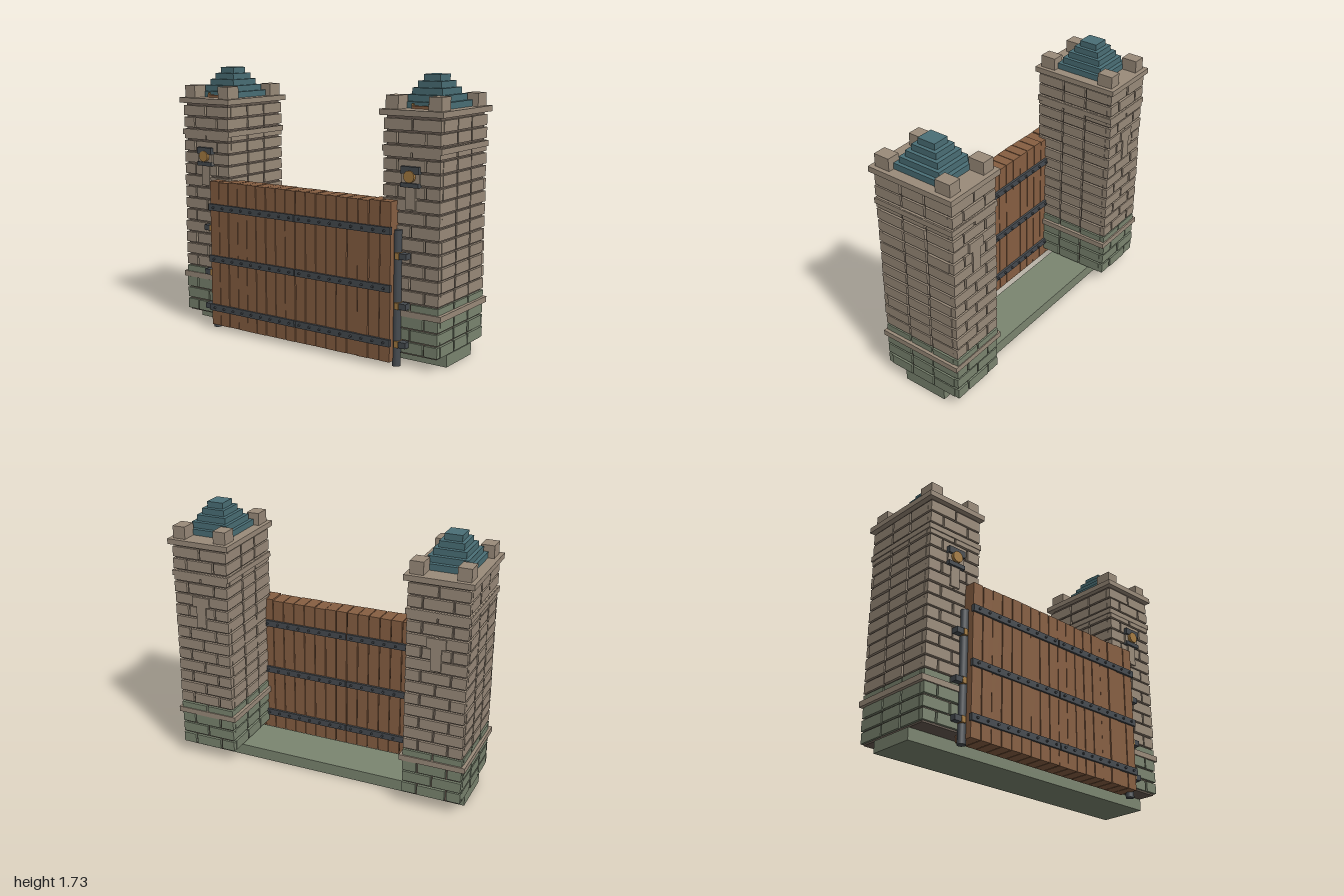
import * as THREE from 'three';

const mat = (name, color) => {
  const m = new THREE.MeshStandardMaterial({ color });
  m.name = name;
  return m;
};

export function createModel() {
  const stone = mat('stone', 0x9a8b7a), moss = mat('mossy stone', 0x7b8570);
  const mortar = mat('mortar', 0x675b51), slate = mat('teal slate', 0x4a6f76);
  const wood = mat('wood', 0x875f42), darkWood = mat('dark wood', 0x523822);
  const iron = mat('iron', 0x464b50), brass = mat('brass', 0xa67c42);

  let seed = 7;
  const rand = () => (seed = (seed * 16807) % 2147483647) / 2147483647;

  const add = (parent, name, geo, material, x, y, z) => {
    const m = new THREE.Mesh(geo, material);
    m.name = name;
    m.position.set(x, y, z);
    parent.add(m);
    return m;
  };
  // Box given by its min and max on each axis
  const box = (parent, name, material, x0, x1, y0, y1, z0, z1) =>
    add(parent, name, new THREE.BoxGeometry(x1 - x0, y1 - y0, z1 - z0), material,
      (x0 + x1) / 2, (y0 + y1) / 2, (z0 + z1) / 2);
  const group = (parent, name) => {
    const g = new THREE.Group();
    g.name = name;
    parent.add(g);
    return g;
  };

  const model = new THREE.Group();
  model.name = 'castleGate';

  // Threshold slab under both towers
  box(model, 'threshold', moss, -0.97, 0.97, 0, 0.075, -0.197, 0.113);

  const buildTower = (name, cx) => {
    const t = group(model, name);
    t.position.set(cx, 0, -0.04);
    box(t, 'mortarCore', mortar, -0.178, 0.178, 0.075, 1.5, -0.267, 0.267);

    // Brick courses, running bond on front and back, stacked on the sides
    const bricks = group(t, 'bricks');
    const pitch = 0.078, gap = 0.006;
    for (let r = 0; r < 18; r++) {
      const m = r < 4 ? moss : stone;
      const y0 = 0.08 + r * pitch + gap, y1 = 0.08 + (r + 1) * pitch - gap;
      const joints = r % 2 ? [-0.19, 0, 0.19] : [-0.19, -0.095, 0.095, 0.19];
      for (const s of [-1, 1]) {
        for (let i = 0; i + 1 < joints.length; i++) {
          const out = 0.28 + rand() * 0.006;
          const z = [s * 0.25, s * out].sort((a, b) => a - b);
          box(bricks, 'faceBrick', m, joints[i] + (i ? gap : 0),
            joints[i + 1] - (i + 2 < joints.length ? gap : 0), y0, y1, ...z);
        }
        for (let i = 0; i < 3; i++) {
          const out = 0.19 + rand() * 0.006;
          const x = [s * 0.16, s * out].sort((a, b) => a - b);
          const z0 = -0.258 + i * 0.172;
          box(bricks, 'sideBrick', m, ...x, y0, y1, z0 + gap, z0 + 0.172 - gap);
        }
      }
    }

    // Projecting courses and cap
    box(t, 'lowerBand', stone, -0.212, 0.212, 0.31, 0.346, -0.291, 0.291);
    box(t, 'upperBand', stone, -0.2, 0.2, 1.285, 1.32, -0.288, 0.288);
    box(t, 'cap', stone, -0.213, 0.213, 1.495, 1.53, -0.302, 0.302);

    // Corner merlons
    for (const sx of [-1, 1]) for (const sz of [-1, 1])
      add(t, 'merlon', new THREE.BoxGeometry(0.085, 0.08, 0.106), stone, sx * 0.143, 1.57, sz * 0.22);

    // Stepped roof
    for (let i = 0; i < 5; i++) {
      const hx = 0.147 - i * 0.023, hz = 0.173 - i * 0.028, y = 1.53 + i * 0.039;
      box(t, 'roofStep', slate, -hx, hx, y, y + 0.039, -hz, hz);
    }
    // Small sill at the foot of the roof
    box(t, 'roofSill', wood, -0.06, 0.06, 1.53, 1.547, 0.17, 0.192);
    for (const s of [-1, 1])
      box(t, 'sillPost', brass, s * 0.056 - 0.006, s * 0.056 + 0.006, 1.53, 1.56, 0.165, 0.187);

    // Raised stone plaques on front and back
    for (const s of [-1, 1]) {
      add(t, 'plaqueHead', new THREE.BoxGeometry(0.12, 0.065, 0.03), stone, 0, 1.13, s * 0.28);
      add(t, 'plaqueStem', new THREE.BoxGeometry(0.066, 0.15, 0.03), stone, 0, 1.03, s * 0.279);
    }

    // Round brass lamp held between iron bars
    box(t, 'lampTopBar', iron, -0.06, 0.06, 1.165, 1.208, 0.27, 0.308);
    box(t, 'lampBottomBar', iron, -0.06, 0.06, 1.086, 1.112, 0.27, 0.308);
    const lamp = add(t, 'lamp', new THREE.CylinderGeometry(0.036, 0.036, 0.045, 12), brass, 0, 1.15, 0.293);
    lamp.rotation.x = Math.PI / 2;
  };
  buildTower('rightTower', -0.787);
  buildTower('leftTower', 0.787);

  // Two plank leaves
  const levels = [0.152, 0.484, 0.829];
  const n = 9, w = 0.697 / n;
  for (const s of [-1, 1]) {
    const leaf = group(model, s < 0 ? 'rightLeaf' : 'leftLeaf');
    const span = (a, b) => [s * a, s * b].sort((p, q) => p - q);
    box(leaf, 'leafCore', darkWood, ...span(0.002, 0.69), 0.045, 0.988, 0.195, 0.3);
    for (let i = 0; i < n; i++) {
      const top = 0.995 + rand() * 0.008, front = 0.312 + rand() * 0.006;
      box(leaf, 'plank', wood, ...span(i * w + 0.003, (i + 1) * w - 0.002), 0.032, top, 0.183, front);
    }
    for (const y of levels) {
      box(leaf, 'frontStrap', iron, ...span(0.004, 0.7), y - 0.022, y + 0.022, 0.305, 0.328);
      box(leaf, 'backStrap', iron, ...span(0.004, 0.7), y - 0.022, y + 0.022, 0.168, 0.19);
      for (let i = 0; i < n; i++) for (const z of [0.331, 0.164]) {
        const stud = add(leaf, 'stud', new THREE.CylinderGeometry(0.008, 0.008, 0.014, 6), iron,
          s * (i + 0.5) * w, y, z);
        stud.rotation.x = Math.PI / 2;
      }
    }

    // Hinge post with brackets fixed to the tower
    const hinge = group(model, s < 0 ? 'rightHinge' : 'leftHinge');
    add(hinge, 'hingePost', new THREE.CylinderGeometry(0.027, 0.027, 0.83, 10), iron, s * 0.705, 0.415, 0.25);
    for (const y of [0.14, 0.375, 0.677]) {
      box(hinge, 'bracket', iron, ...span(0.705, 0.783), y - 0.018, y + 0.018, 0.235, 0.282);
      box(hinge, 'bracketCollar', brass, ...span(0.706, 0.734), y - 0.02, y + 0.02, 0.225, 0.286);
    }
  }
  return model;
}
